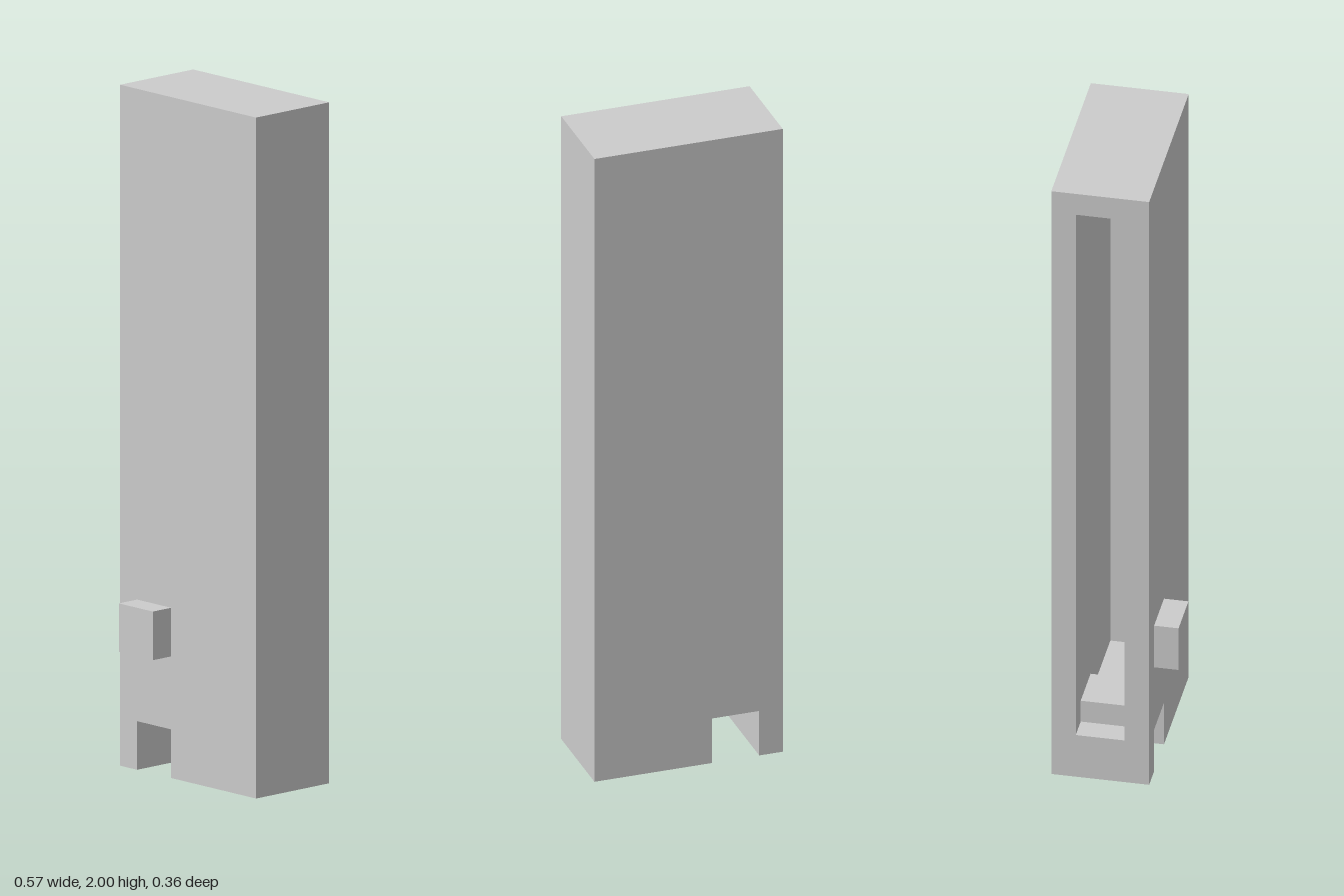
import * as THREE from 'three';

// One grid unit: the body is 8 wide, 28 high and 4 deep
const U = 1 / 14;
const material = new THREE.MeshStandardMaterial({ color: 0xcccccc, flatShading: true });

// Box given by its limits in grid units
function box(name, [x0, x1], [y0, y1], [z0, z1]) {
  const mesh = new THREE.Mesh(
    new THREE.BoxGeometry((x1 - x0) * U, (y1 - y0) * U, (z1 - z0) * U), material);
  mesh.position.set((x0 + x1) / 2 * U, (y0 + y1) / 2 * U, (z0 + z1) / 2 * U);
  mesh.name = name;
  return mesh;
}

const points = list => list.map(([x, y]) => new THREE.Vector2(x * U, y * U));

// Upright panel, one unit thick, with the notch at its foot
function panel(name, z, hole) {
  const shape = new THREE.Shape(points([
    [-4, 0], [-3, 0], [-3, 2], [-1, 2], [-1, 0], [4, 0], [4, 28], [-4, 28],
  ]));
  if (hole) shape.holes.push(new THREE.Path(points(hole)));
  const geometry = new THREE.ExtrudeGeometry(shape, { depth: U, bevelEnabled: false });
  const mesh = new THREE.Mesh(geometry, material);
  mesh.position.z = z * U;
  mesh.name = name;
  return mesh;
}

export function createModel() {
  const model = new THREE.Group();
  model.name = 'hollowCabinet';
  const inner = [-1.5, 0.5]; // depth of the cavity between the panels

  model.add(
    // Front and back panels; the front one is pierced behind the button
    panel('frontPanel', 0.5, [[-3, 5], [-3, 7], [-1, 7], [-1, 5]]),
    panel('backPanel', -2.5),
    // Rim around the cavity, which is open on the -x side
    box('topWall', [-4, 4], [27, 28], inner),
    box('sideWall', [3, 4], [0, 27], inner),
    box('floorBesideNotch', [-4, -3], [0, 2], inner),
    box('floor', [-1, 3], [0, 2], inner),
    // Raised cover over the notch
    box('notchCover', [-3, -1], [2, 3], inner),
    // Button on the front
    box('button', [-3, -1], [5, 7], [1.5, 2.5]),
  );
  return model;
}
